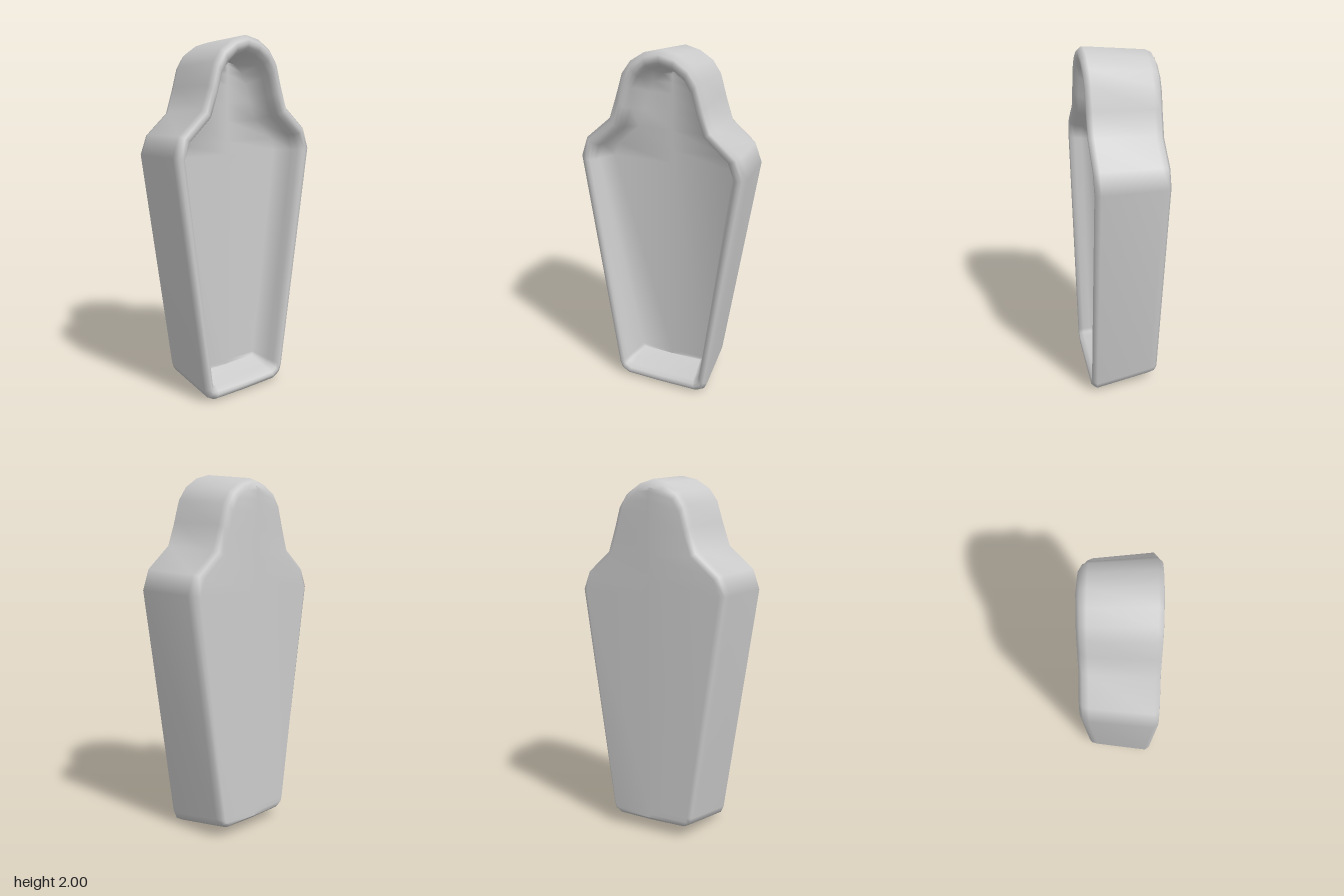
import * as THREE from 'three';

// Half outlines (x, y), from the top of the head down to the middle of the foot
const RIM = [[0, 2], [.09, 1.978], [.17, 1.928], [.22, 1.86], [.257, 1.74], [.3, 1.615],
  [.445, 1.49], [.483, 1.38], [.288, .07], [.27, .03], [.222, .003], [0, 0]];
const BACK = [[0, 1.97], [.085, 1.947], [.16, 1.9], [.205, 1.835], [.237, 1.725], [.28, 1.59],
  [.415, 1.475], [.455, 1.37], [.262, .115], [.25, .08], [.21, .056], [0, .052]];
const FLOOR = [[0, 1.86], [.055, 1.845], [.105, 1.8], [.135, 1.74], [.16, 1.64], [.2, 1.54],
  [.325, 1.43], [.355, 1.355], [.2, .135], [.196, .122], [.185, .113], [0, .11]];

const blend = (a, b, t) => a.map((p, i) => [p[0] + (b[i][0] - p[0]) * t, p[1] + (b[i][1] - p[1]) * t]);
const midline = (outline) => outline.map(([, y]) => [0, y]);

// Skins mirrored half outlines, each at its own depth z
function skin(sections) {
  const half = RIM.length, n = 2 * half - 2, pos = [], idx = [];
  for (const [outline, z] of sections) {
    for (let i = 0; i < n; i++) {
      const [x, y] = outline[i < half ? i : n - i];
      pos.push(i < half ? x : -x, y, z);
    }
  }
  for (let k = 0; k < sections.length - 1; k++) {
    for (let i = 0; i < n; i++) {
      const a = k * n + i, b = k * n + (i + 1) % n;
      idx.push(a, a + n, b, b, a + n, b + n);
    }
  }
  const geo = new THREE.BufferGeometry();
  geo.setAttribute('position', new THREE.Float32BufferAttribute(pos, 3));
  geo.setIndex(idx);
  geo.computeVertexNormals();
  return geo;
}

export function createModel() {
  const group = new THREE.Group();
  group.name = 'coffin';
  const backEdge = blend(BACK, FLOOR, .42);

  const shell = new THREE.Mesh(skin([
    // back face and its rounded edge
    [midline(backEdge), -.203],
    [backEdge, -.2],
    [blend(BACK, FLOOR, .14), -.183],
    // tapered outer wall
    [BACK, -.15],
    [RIM, .172],
    // rounded rim
    [blend(RIM, FLOOR, .17), .198],
    [blend(RIM, FLOOR, .32), .2],
    [blend(RIM, FLOOR, .47), .195],
    [blend(RIM, FLOOR, .6), .17],
    // sloping inner wall and flat floor
    [blend(RIM, FLOOR, .68), .13],
    [FLOOR, .025],
    [midline(FLOOR), .025],
  ]), new THREE.MeshStandardMaterial({ color: 0xcccccc }));
  shell.name = 'hollowCoffinShell';
  group.add(shell);
  return group;
}
